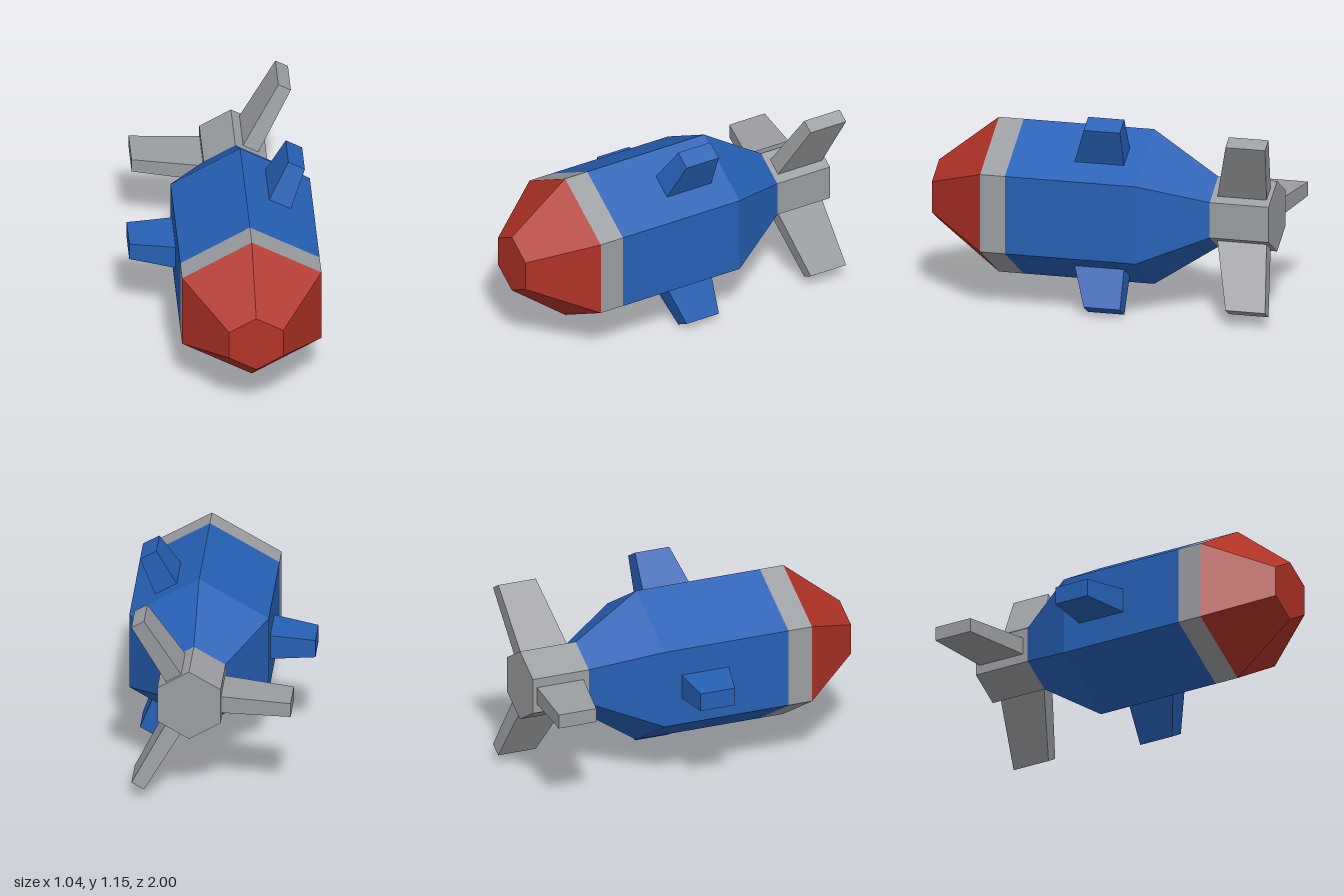
import * as THREE from 'three';

const mat = (name, color) => {
  const m = new THREE.MeshStandardMaterial({ color, flatShading: true });
  m.name = name;
  return m;
};

// Six-sided hull section along z, with corners at top and bottom
function section(name, zBack, zFront, rBack, rFront, material, open) {
  const g = new THREE.CylinderGeometry(rFront, rBack, zFront - zBack, 6, 1, open);
  g.rotateX(Math.PI / 2);
  g.translate(0, 0, (zFront + zBack) / 2);
  const mesh = new THREE.Mesh(g, material);
  mesh.name = name;
  return mesh;
}

// Tapered fin: each end gives distance from the axis, low/high edge and back/front z
function fin(name, angle, root, tip, material) {
  const g = new THREE.BoxGeometry(1, 1, 1);
  const p = g.attributes.position;
  for (let i = 0; i < p.count; i++) {
    const e = p.getX(i) > 0 ? tip : root;
    p.setXYZ(i, e.d, p.getY(i) > 0 ? e.high : e.low, p.getZ(i) > 0 ? e.front : e.back);
  }
  g.computeVertexNormals();
  g.rotateZ(angle);
  const mesh = new THREE.Mesh(g, material);
  mesh.name = name;
  return mesh;
}

export function createModel() {
  const red = mat('red', 0xb03226);
  const blue = mat('blue', 0x2660b5);
  const grey = mat('grey', 0x9b9ea1);

  const model = new THREE.Group();
  model.name = 'bomb';
  const body = new THREE.Group();
  body.name = 'body';
  body.position.set(0.127, 0.574, 0);
  model.add(body);

  // Hull from nose to tail
  body.add(
    section('nose', 0.65, 1.0, 0.455, 0.177, red, false),
    section('noseBand', 0.505, 0.65, 0.455, 0.455, grey, true),
    section('hull', -0.26, 0.505, 0.455, 0.455, blue, true),
    section('rearTaper', -0.635, -0.26, 0.207, 0.455, blue, true),
    section('tailBlock', -0.98, -0.635, 0.207, 0.207, grey, false)
  );

  // Side fins: the two on the left keep one edge straight, the right one tapers evenly
  const third = Math.PI / 3;
  const root = { d: 0.393, low: -0.071, high: 0.071, back: -0.155, front: 0.135 };
  const z = { back: -0.155, front: 0.057 };
  body.add(
    fin('upperSideFin', third, root, { d: 0.622, low: -0.037, high: 0.07, ...z }, blue),
    fin('lowerSideFin', -third, root, { d: 0.622, low: -0.07, high: 0.037, ...z }, blue),
    fin('rightSideFin', Math.PI, root, { d: 0.65, low: -0.052, high: 0.052, ...z }, blue)
  );

  // Swept tail fins
  const tailRoot = { d: 0.178, low: -0.05, high: 0.05, back: -0.955, front: -0.667 };
  const tailTip = { d: 0.577, low: -0.041, high: 0.041, back: -1.0, front: -0.768 };
  [['upperTailFin', third], ['rightTailFin', Math.PI], ['lowerTailFin', -third]].forEach(([name, a]) =>
    body.add(fin(name, a, tailRoot, tailTip, grey)));

  return model;
}
